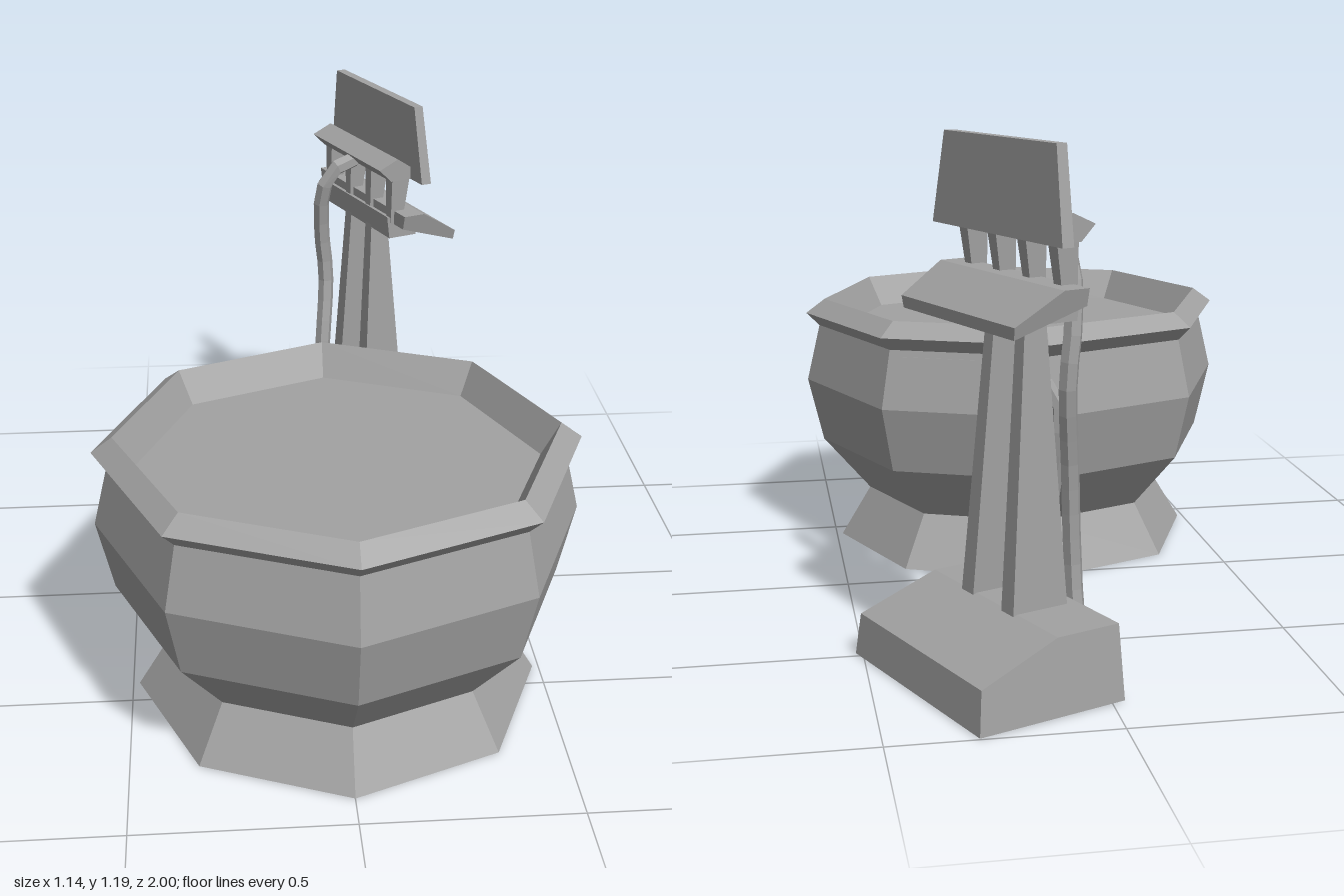
import * as THREE from 'three';

const grey = new THREE.MeshStandardMaterial({ color: 0xa2a2a2, flatShading: true });
grey.name = 'grey';

function add(parent, name, geometry) {
  const mesh = new THREE.Mesh(geometry, grey);
  mesh.name = name;
  parent.add(mesh);
  return mesh;
}

// Side profile (x, y) extruded along z, with its length tapering from bottom to top
function prism(profile, bottomLength, topLength = bottomLength) {
  const shape = new THREE.Shape(profile.map(([x, y]) => new THREE.Vector2(x, y)));
  const geo = new THREE.ExtrudeGeometry(shape, { depth: 1, bevelEnabled: false });
  const ys = profile.map((p) => p[1]);
  const low = Math.min(...ys), high = Math.max(...ys);
  const pos = geo.attributes.position;
  for (let i = 0; i < pos.count; i++) {
    const t = (pos.getY(i) - low) / (high - low);
    pos.setZ(i, (pos.getZ(i) - 0.5) * THREE.MathUtils.lerp(bottomLength, topLength, t));
  }
  geo.computeVertexNormals();
  return geo;
}

// Four-sided post narrowing and leaning inward as it rises
function post(side) {
  const geo = new THREE.BoxGeometry(1, 1, 1);
  const pos = geo.attributes.position;
  const mix = THREE.MathUtils.lerp;
  for (let i = 0; i < pos.count; i++) {
    const t = pos.getY(i) + 0.5;
    pos.setXYZ(i,
      mix(-0.08, -0.088, t) + pos.getX(i) * mix(0.14, 0.05, t),
      mix(0.16, 0.83, t),
      0.01 + side * mix(0.085, 0.06, t) + pos.getZ(i) * mix(0.05, 0.035, t));
  }
  geo.computeVertexNormals();
  return geo;
}

export function createModel() {
  const model = new THREE.Group();
  model.name = 'basinAndStand';

  // Eight-sided basin with foot, rim and sunken surface
  const basin = new THREE.Group();
  basin.name = 'basin';
  basin.position.z = 0.43;
  model.add(basin);
  const wall = [[0, 0.003], [0.485, 0.003], [0.405, 0.135], [0.53, 0.28], [0.57, 0.45], [0.535, 0.6],
    [0.57, 0.635], [0.52, 0.672], [0.475, 0.592]];
  add(basin, 'bowl', new THREE.LatheGeometry(wall.map(([r, y]) => new THREE.Vector2(r, y)), 8));
  const surface = [[0.475, 0.592], [0, 0.592]];
  add(basin, 'liquidSurface', new THREE.LatheGeometry(surface.map(([r, y]) => new THREE.Vector2(r, y)), 8));

  // Connection box leaning against the back wall
  const boxHolder = new THREE.Group();
  boxHolder.name = 'connectionBox';
  boxHolder.rotation.y = Math.PI - Math.PI / 8;
  basin.add(boxHolder);
  const box = add(boxHolder, 'connectionBoxBody', new THREE.BoxGeometry(0.345, 0.112, 0.055));
  box.position.set(0, 0.532, 0.526);
  box.rotation.x = -0.2;

  // Stand
  const stand = new THREE.Group();
  stand.name = 'stand';
  stand.position.set(0.244, 0, -0.675);
  stand.rotation.y = Math.PI / 8;
  model.add(stand);
  add(stand, 'standBase', prism(
    [[-0.18, 0.003], [0.18, 0.003], [0.17, 0.1], [-0.02, 0.172], [-0.175, 0.172]], 0.555, 0.52));
  for (const side of [-1, 1]) add(stand, 'post', post(side));

  // Head: upright panel, sloping shelf, two bars and the struts between them
  add(stand, 'uprightPanel', prism(
    [[-0.055, 0.985], [-0.027, 0.985], [-0.037, 1.19], [-0.062, 1.19]], 0.525, 0.45));
  add(stand, 'slopingShelf', prism(
    [[-0.1, 0.86], [0.067, 0.803], [0.069, 0.83], [-0.04, 0.898], [-0.1, 0.898]], 0.46, 0.505));
  add(stand, 'upperBar', prism(
    [[-0.115, 0.985], [-0.05, 0.985], [-0.05, 1.015], [-0.095, 1.045], [-0.15, 1.02]], 0.4));
  add(stand, 'lowerBar', prism(
    [[-0.112, 0.82], [-0.03, 0.82], [-0.03, 0.85], [-0.12, 0.882]], 0.38));
  for (const z of [-0.18, -0.06, 0.06, 0.18]) {
    const strut = add(stand, 'strut', prism(
      [[-0.11, 0.86], [-0.075, 0.86], [-0.055, 1.0], [-0.11, 1.0]], 0.025, 0.036));
    strut.position.z = z;
  }

  // Hose running from the connection box along the ground up to the head
  const path = [
    [0.06, 0.53, -0.13], [0, 0.53, -0.15], [-0.02, 0.49, -0.16], [-0.02, 0.42, -0.16], [-0.01, 0.3, -0.14],
    [0, 0.18, -0.12], [0, 0.08, -0.12], [0, 0.03, -0.15], [0.02, 0.022, -0.22], [0, 0.022, -0.32],
    [0.02, 0.022, -0.4], [-0.005, 0.022, -0.45], [0.02, 0.022, -0.5], [-0.035, 0.022, -0.54],
    [-0.04, 0.022, -0.58], [-0.01, 0.03, -0.605], [0.02, 0.08, -0.6], [0.03, 0.22, -0.585],
    [0.04, 0.45, -0.6], [0.052, 0.65, -0.635], [0.04, 0.78, -0.63], [0.04, 0.9, -0.61],
    [0.065, 0.97, -0.6], [0.13, 0.995, -0.63]];
  const curve = new THREE.CatmullRomCurve3(path.map((p) => new THREE.Vector3(...p)));
  add(model, 'hose', new THREE.TubeGeometry(curve, 36, 0.022, 6));

  return model;
}
